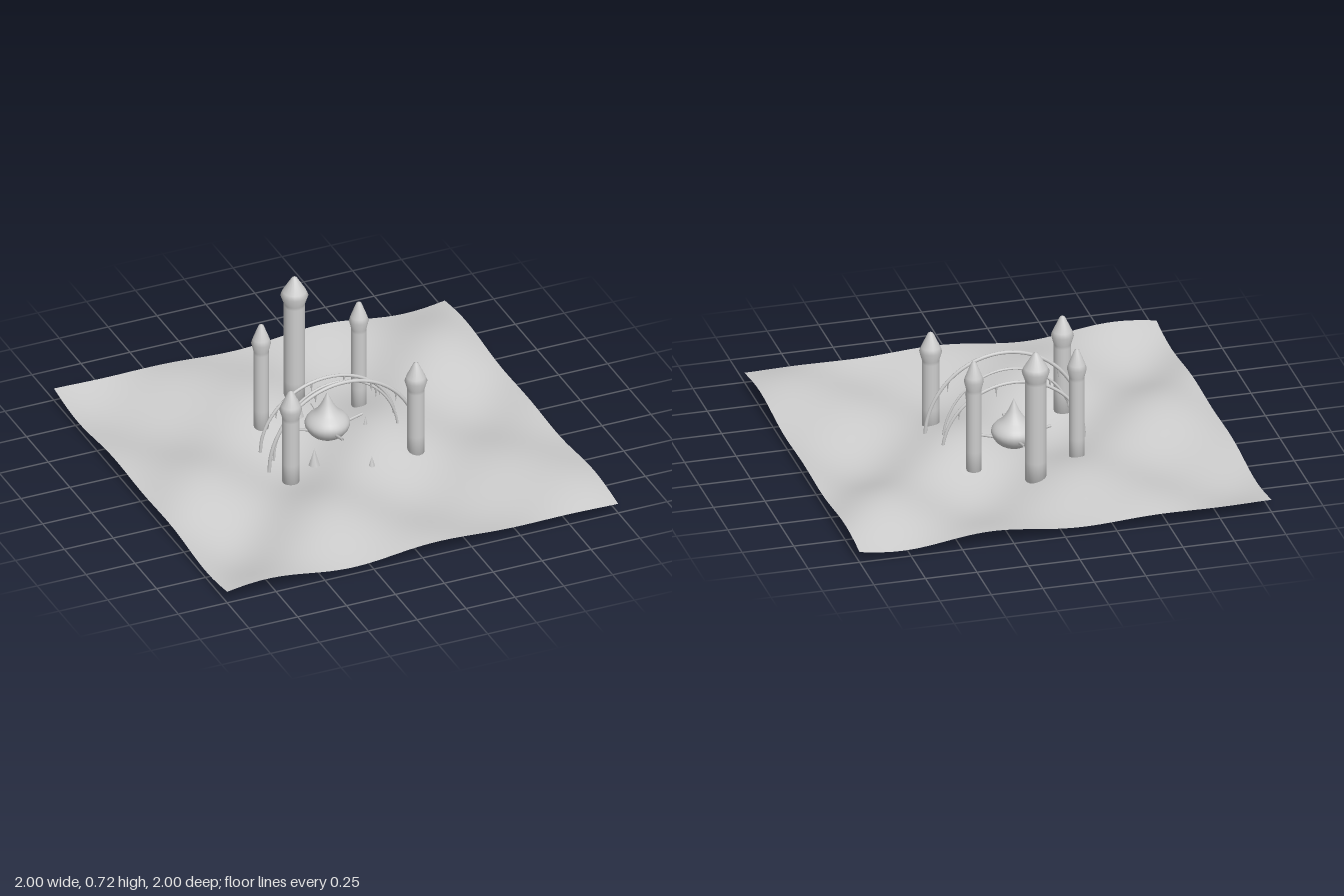
import * as THREE from 'three';

const BASE = 0.058;

export function createModel() {
  const model = new THREE.Group();
  const stone = new THREE.MeshStandardMaterial({ color: 0xcccccc, side: THREE.DoubleSide });
  stone.name = 'pale grey stone';

  const add = (geometry, name, x = 0, y = 0, z = 0) => {
    const mesh = new THREE.Mesh(geometry, stone);
    mesh.name = name;
    mesh.position.set(x, y, z);
    model.add(mesh);
    return mesh;
  };
  const lathe = (points, sides) =>
    new THREE.LatheGeometry(points.map(([r, y]) => new THREE.Vector2(r, y)), sides);

  // Rolling ground sheet
  const height = (x, z) =>
    BASE + 0.046 * Math.sin(6 * x) * Math.cos(5 * z) + 0.011 * Math.sin(8 * (x + z));
  const ground = new THREE.PlaneGeometry(2, 2, 60, 60).rotateX(-Math.PI / 2);
  const p = ground.attributes.position;
  for (let i = 0; i < p.count; i++) p.setY(i, height(p.getX(i), p.getZ(i)));
  ground.computeVertexNormals();
  add(ground, 'ground');

  // Towers with flared, pointed roofs: x, z, tip height, shaft radius, roof radius
  const towers = [
    [0, -0.48, 0.72, 0.05, 0.066],
    [-0.25, -0.3, 0.62, 0.036, 0.047],
    [0.25, -0.3, 0.62, 0.036, 0.047],
    [-0.32, 0.2, 0.55, 0.041, 0.054],
    [0.32, 0.2, 0.55, 0.041, 0.054],
  ];
  for (const [x, z, tip, r, roof] of towers) {
    add(lathe([
      [0, BASE], [r, BASE], [r, BASE + 0.1], [r, tip - 0.16], [r, tip - 0.145],
      [roof, tip - 0.1], [roof * 0.85, tip - 0.078], [0.012, tip - 0.006], [0, tip],
    ], 16), 'tower', x, 0, z);
  }

  // Onion dome
  const domeZ = -0.1;
  const outline = new THREE.SplineCurve([
    [0, 0.055], [0.06, 0.068], [0.095, 0.1], [0.107, 0.135], [0.092, 0.165],
    [0.058, 0.195], [0.033, 0.23], [0.016, 0.265], [0, 0.3],
  ].map(([r, y]) => new THREE.Vector2(r, y)));
  const domePoints = outline.getPoints(24).map(v => [Math.max(0, v.x), v.y]);
  add(lathe(domePoints, 24), 'onionDome', 0, 0, domeZ);

  // Four curved spouts around the dome
  for (let i = 0; i < 4; i++) {
    const curve = new THREE.CatmullRomCurve3([
      new THREE.Vector3(0.08, 0.11, 0),
      new THREE.Vector3(0.13, 0.125, 0),
      new THREE.Vector3(0.18, 0.137, 0),
    ]);
    add(new THREE.TubeGeometry(curve, 8, 0.007, 6), 'domeSpout', 0, 0, domeZ)
      .rotation.y = i * Math.PI / 2;
  }

  // Slender arches with hanging spikes: z, half span, rise, thickness, spike angles
  const arches = [
    [0.085, 0.38, 0.395, 0.009, [45, 68, 112, 135]],
    [0, 0.318, 0.35, 0.006, [50, 130]],
    [-0.095, 0.345, 0.325, 0.008, [40, 76, 104, 140]],
  ];
  for (const [z, span, rise, r, spikes] of arches) {
    const at = a => new THREE.Vector3(span * Math.cos(a), BASE + rise * Math.sin(a), z);
    const points = [];
    for (let i = 0; i <= 16; i++) points.push(at(i * Math.PI / 16));
    add(new THREE.TubeGeometry(new THREE.CatmullRomCurve3(points), 48, r, 8), 'arch');
    for (const degrees of spikes) {
      const top = at(THREE.MathUtils.degToRad(degrees));
      add(new THREE.ConeGeometry(0.007, 0.05, 6).rotateX(Math.PI), 'hangingSpike',
        top.x, top.y - 0.028, z);
    }
  }

  // Small rock spires on the ground: x, z, radius, height
  const spires = [
    [-0.05, -0.33, 0.033, 0.1],
    [0.175, -0.055, 0.021, 0.1],
    [-0.155, 0.1, 0.028, 0.09],
    [0.075, 0.245, 0.022, 0.07],
  ];
  for (const [x, z, r, h] of spires) {
    add(new THREE.ConeGeometry(r, h, 7), 'rockSpire', x, 0.05 + h / 2, z);
  }

  return model;
}
